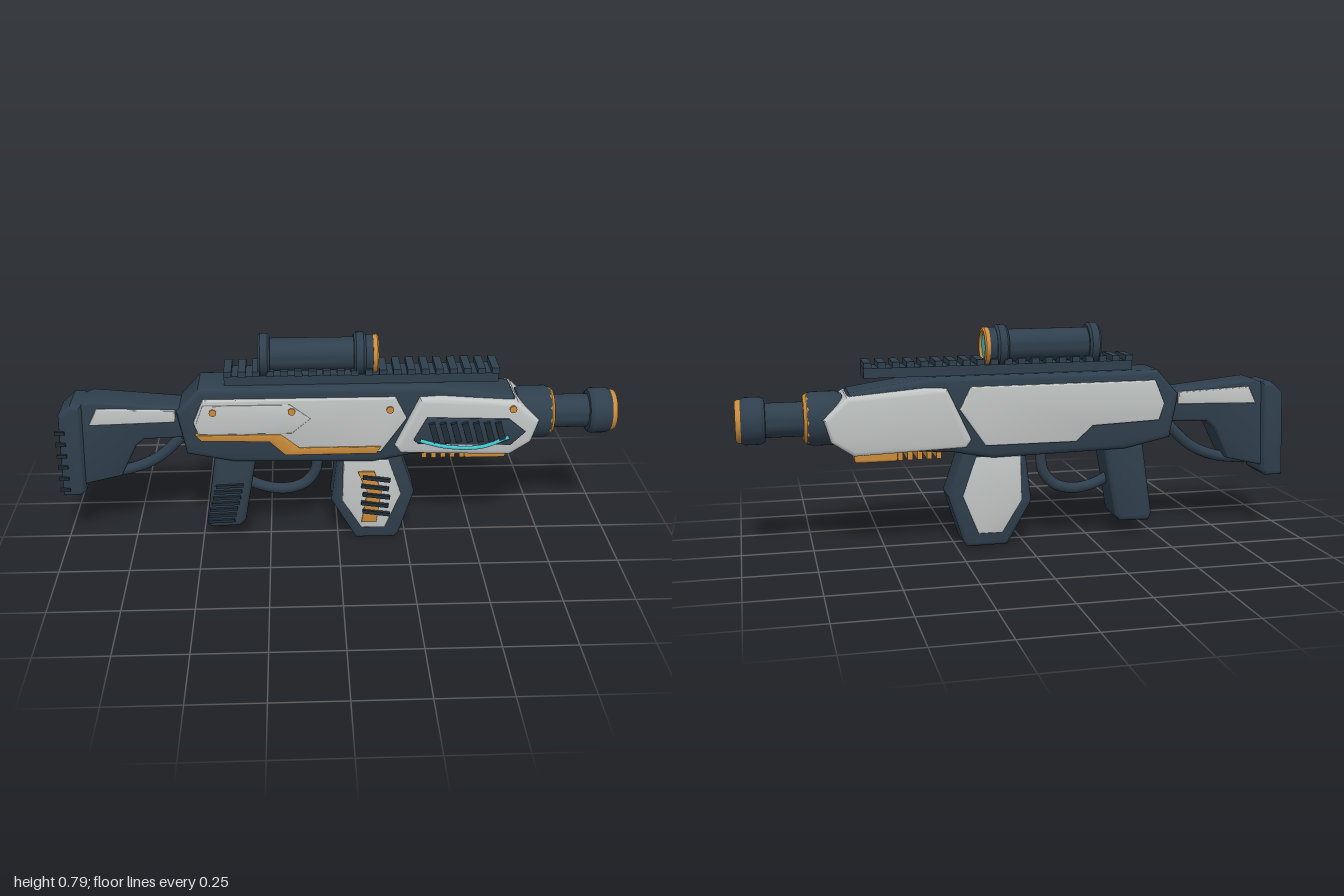
import * as THREE from 'three';
import { toCreasedNormals } from 'three/addons/utils/BufferGeometryUtils.js';
import { RoundedBoxGeometry } from 'three/addons/geometries/RoundedBoxGeometry.js';

const paint = (name, color) => {
  const m = new THREE.MeshStandardMaterial({ color });
  m.name = name;
  return m;
};

export function createModel() {
  const navy = paint('navy', 0x2f3f4d);
  const black = paint('darkRib', 0x212c36);
  const grey = paint('paleGrey', 0xc2c6c5);
  const orange = paint('orange', 0xcb8c3b);
  const cyan = paint('cyan', 0x43c6d0);

  const root = new THREE.Group();
  root.name = 'rifle';
  const gun = new THREE.Group();
  gun.name = 'rifleParts';
  gun.position.z = -0.012; // side details stick out on one side only
  root.add(gun);

  const add = (name, geo, mat, x = 0, y = 0, z = 0, tilt = 0) => {
    const m = new THREE.Mesh(geo, mat);
    m.name = name;
    m.position.set(x, y, z);
    m.rotation.z = tilt;
    gun.add(m);
    return m;
  };
  // Outline in x,y pushed from z0 to z1 with a soft edge inside the outline
  const slab = (name, pts, z0, z1, bevel, mat) => {
    const shape = new THREE.Shape(pts.map(p => new THREE.Vector2(p[0], p[1])));
    const geo = new THREE.ExtrudeGeometry(shape, {
      depth: z1 - z0 - 2 * bevel, bevelEnabled: bevel > 0, bevelThickness: bevel,
      bevelSize: bevel, bevelOffset: -bevel, bevelSegments: 3,
    });
    geo.translate(0, 0, z0 + bevel);
    return add(name, toCreasedNormals(geo, 0.6), mat);
  };
  // Turned part along x; profile is [radius, x]
  const turned = (name, profile, y, mat, sides = 40) => {
    const geo = new THREE.LatheGeometry(profile.map(p => new THREE.Vector2(p[0], p[1])), sides);
    geo.rotateZ(-Math.PI / 2);
    return add(name, toCreasedNormals(geo, 0.5), mat, 0, y);
  };
  const lens = (name, r, x, y) =>
    add(name, new THREE.CircleGeometry(r, 40).rotateY(Math.PI / 2), cyan, x, y);
  const box = (name, w, h, d, mat, x, y, z, tilt = 0) =>
    add(name, new THREE.BoxGeometry(w, h, d), mat, x, y, z, tilt);
  const tube = (name, pts, r, mat) => {
    const curve = new THREE.CatmullRomCurve3(pts.map(p => new THREE.Vector3(p[0], p[1], p[2] ?? 0)));
    return add(name, new THREE.TubeGeometry(curve, 32, r, 12), mat);
  };

  // Receiver
  slab('receiver', [[-0.57, 0.53], [-0.49, 0.62], [0.33, 0.62], [0.62, 0.575], [0.66, 0.5], [0.6, 0.375],
    [0.26, 0.352], [0.12, 0.325], [-0.37, 0.335], [-0.54, 0.37]], -0.089, 0.089, 0.02, navy);

  // Nose shroud
  slab('noseShroud', [[0.2, 0.4], [0.285, 0.583], [0.36, 0.587], [0.63, 0.565], [0.71, 0.49],
    [0.685, 0.41], [0.61, 0.36], [0.22, 0.373]], -0.1155, 0.1155, 0.016, grey);
  slab('ventPlate', [[0.265, 0.43], [0.31, 0.515], [0.6, 0.505], [0.66, 0.455], [0.61, 0.405], [0.28, 0.415]],
    0.11, 0.125, 0.004, navy);
  for (let i = 0; i < 7; i++) {
    box('ventSlat', 0.022, 0.075, 0.018, black, 0.335 + i * 0.039, 0.463, 0.13, 0.28);
  }
  tube('glowLine', [[0.285, 0.432, 0.132], [0.38, 0.408, 0.134], [0.5, 0.405, 0.134], [0.6, 0.44, 0.132]], 0.007, cyan);

  // Receiver side panels
  const panel = [[-0.51, 0.5], [-0.475, 0.585], [0.2, 0.585], [0.24, 0.505], [0.15, 0.375],
    [-0.18, 0.375], [-0.24, 0.43], [-0.49, 0.44]];
  slab('frontSidePanel', panel, 0.08, 0.103, 0.006, grey);
  slab('backSidePanel', panel, -0.103, -0.08, 0.006, grey);
  slab('raisedPanel', [[-0.5, 0.5], [-0.475, 0.567], [-0.17, 0.567], [-0.1, 0.512], [-0.165, 0.457], [-0.49, 0.457]],
    0.1, 0.107, 0.003, grey);
  slab('orangeTrim', [[-0.505, 0.456], [-0.205, 0.452], [-0.14, 0.4], [0.15, 0.4], [0.135, 0.372],
    [-0.19, 0.372], [-0.245, 0.425], [-0.485, 0.432]], 0.09, 0.108, 0.003, orange);
  for (const [x, z] of [[-0.44, 0.106], [-0.165, 0.106], [0.18, 0.104], [0.612, 0.116]]) {
    add('bolt', new THREE.CylinderGeometry(0.013, 0.013, 0.012, 16).rotateX(Math.PI / 2), orange, x, 0.542, z);
  }

  // Barrel and muzzle
  turned('barrelCollar', [[0, 0.6], [0.085, 0.64], [0.094, 0.66], [0.094, 0.745], [0.088, 0.76], [0, 0.76]], 0.48, navy);
  turned('collarRing', [[0.06, 0.745], [0.09, 0.75], [0.09, 0.762], [0.08, 0.773], [0.06, 0.773]], 0.48, orange, 12);
  turned('barrel', [[0.06, 0.74], [0.06, 0.92]], 0.48, navy);
  turned('muzzle', [[0.058, 0.9], [0.074, 0.902], [0.082, 0.915], [0.082, 0.97], [0.074, 0.984], [0.05, 0.984]], 0.48, navy);
  turned('muzzleRing', [[0.06, 0.975], [0.075, 0.979], [0.075, 0.992], [0.07, 1], [0.06, 1], [0.052, 0.985]], 0.48, orange);
  lens('muzzleLens', 0.054, 0.987, 0.48);

  // Top rail
  box('railBase', 0.965, 0.034, 0.1, navy, 0.083, 0.637, 0);
  for (let i = 0; i < 20; i++) {
    box('railTooth', 0.027, 0.02, 0.12, navy, -0.386 + i * 0.0494, 0.665, 0);
  }

  // Scope
  turned('scopeTube', [[0, -0.27], [0.058, -0.27], [0.058, 0.05], [0.066, 0.1], [0.066, 0.125], [0, 0.125]], 0.715, navy);
  for (const x of [-0.28, 0.055]) {
    turned('scopeBand', [[0, x], [0.068, x], [0.075, x + 0.008], [0.075, x + 0.034], [0.068, x + 0.042], [0, x + 0.042]], 0.715, navy);
  }
  turned('scopeRing', [[0.056, 0.12], [0.067, 0.123], [0.067, 0.137], [0.062, 0.142], [0.053, 0.142], [0.051, 0.13]], 0.715, orange);
  lens('scopeLens', 0.053, 0.132, 0.715);

  // Stock
  slab('stockFrame', [[-0.95, 0.54], [-0.87, 0.572], [-0.55, 0.54], [-0.55, 0.425], [-0.69, 0.42], [-0.72, 0.395],
    [-0.78, 0.275], [-0.95, 0.235]], -0.062, 0.062, 0.012, navy);
  slab('buttPad', [[-0.985, 0.52], [-0.94, 0.56], [-0.9, 0.56], [-0.912, 0.22], [-0.93, 0.205], [-0.995, 0.205]],
    -0.078, 0.078, 0.016, navy);
  for (const s of [-1, 1]) {
    slab('stockPanel', [[-0.85, 0.545], [-0.575, 0.535], [-0.575, 0.49], [-0.88, 0.482]],
      s > 0 ? 0.055 : -0.07, s > 0 ? 0.07 : -0.055, 0.004, grey);
  }
  tube('stockStrut', [[-0.87, 0.262], [-0.75, 0.278], [-0.65, 0.322], [-0.56, 0.405]], 0.02, navy);
  for (let i = 0; i < 6; i++) {
    box('buttRib', 0.035, 0.012, 0.012, black, -0.9825, 0.235 + i * 0.045, 0.08);
  }

  // Grip and trigger guard
  slab('grip', [[-0.44, 0.37], [-0.29, 0.37], [-0.34, 0.085], [-0.36, 0.062], [-0.47, 0.058], [-0.482, 0.085]],
    -0.07, 0.07, 0.016, navy);
  for (let i = 0; i < 7; i++) {
    box('gripRib', 0.1, 0.011, 0.016, black, -0.43 + i * 0.006, 0.09 + i * 0.024, 0.073, 0.04);
  }
  tube('triggerGuard', [[-0.35, 0.23], [-0.27, 0.193], [-0.19, 0.182], [-0.12, 0.205], [-0.08, 0.26], [-0.075, 0.35]], 0.02, navy);

  // Magazine
  slab('magazine', [[0, 0.36], [0.22, 0.36], [0.278, 0.19], [0.225, 0.02], [0.21, 0.002], [0.065, 0.002], [-0.025, 0.16]],
    -0.071, 0.071, 0.016, navy);
  const magPanel = [[0.018, 0.33], [0.18, 0.33], [0.228, 0.19], [0.172, 0.05], [0.085, 0.05], [0.015, 0.165]];
  slab('frontMagazinePanel', magPanel, 0.06, 0.075, 0.004, grey);
  slab('backMagazinePanel', magPanel, -0.075, -0.06, 0.004, grey);
  slab('magazineStripe', [[0.07, 0.285], [0.13, 0.285], [0.157, 0.2], [0.14, 0.075], [0.085, 0.075], [0.105, 0.2]],
    0.073, 0.081, 0.002, orange);
  for (let i = 0; i < 5; i++) {
    box('magazineRib', 0.1, 0.013, 0.014, black, 0.138 - (i % 2) * 0.005, 0.118 + i * 0.035, 0.085, -0.15);
  }

  // Grille under the nose
  add('underPlate', new RoundedBoxGeometry(0.15, 0.045, 0.14, 3, 0.01), orange, 0.53, 0.35, 0);
  for (let i = 0; i < 5; i++) {
    box('underBar', 0.018, 0.03, 0.13, orange, 0.31 + i * 0.034, 0.346, 0);
  }
  return root;
}
